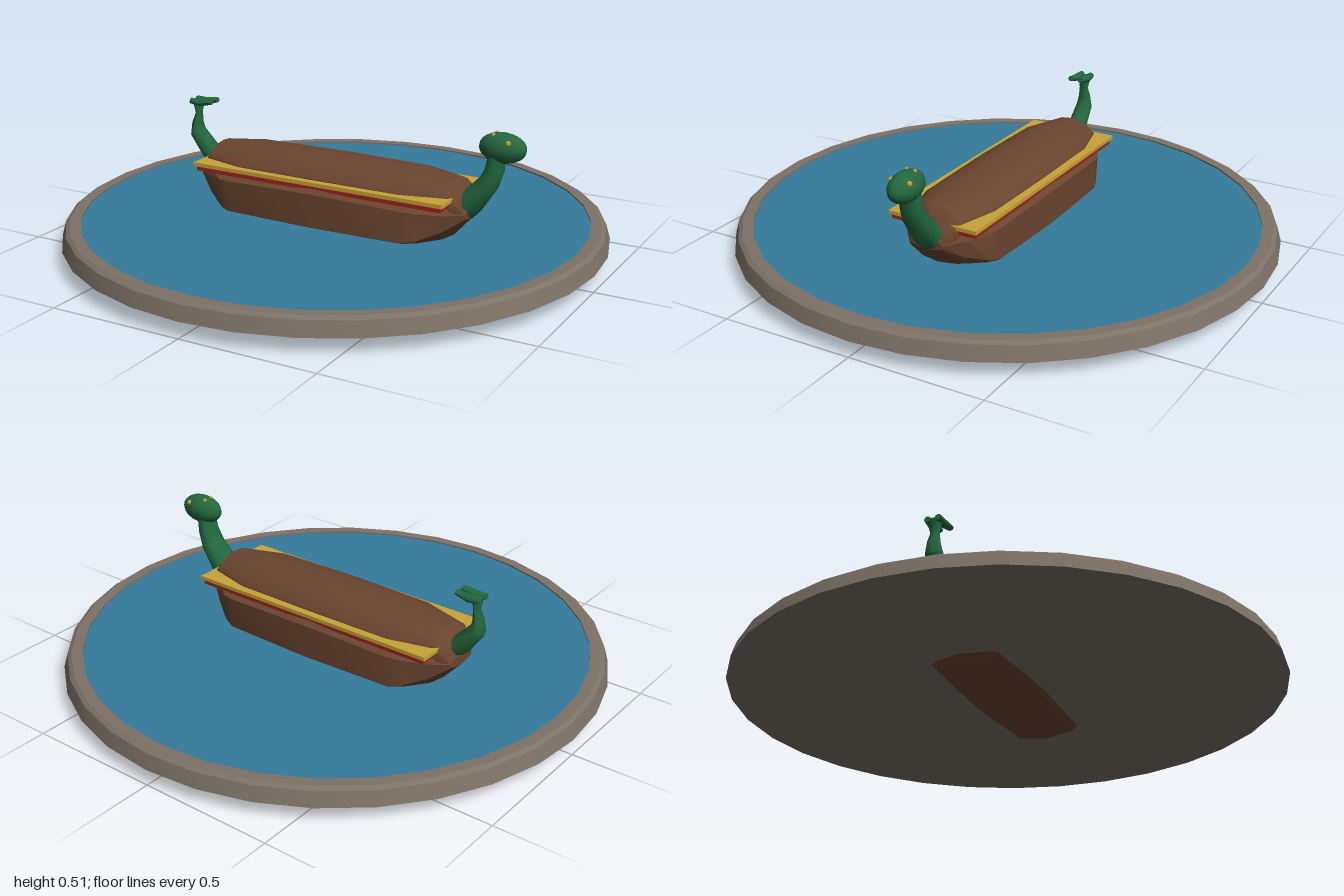
import * as THREE from 'three';
import { toCreasedNormals } from 'three/addons/utils/BufferGeometryUtils.js';

const mat = (name, color) => {
  const m = new THREE.MeshStandardMaterial({ color });
  m.name = name;
  return m;
};

// Skins a list of equal-length rings and caps both ends.
function loft(rings, crease) {
  const n = rings[0].length, pos = [], idx = [];
  rings.forEach(r => r.forEach(p => pos.push(...p)));
  for (let i = 0; i < rings.length - 1; i++) {
    for (let j = 0; j < n; j++) {
      const a = i * n + j, b = i * n + (j + 1) % n;
      idx.push(a, b, b + n, a, b + n, a + n);
    }
  }
  const last = (rings.length - 1) * n;
  for (let j = 1; j < n - 1; j++) idx.push(0, j + 1, j, last, last + j, last + j + 1);
  const g = new THREE.BufferGeometry();
  g.setAttribute('position', new THREE.Float32BufferAttribute(pos, 3));
  g.setIndex(idx);
  return toCreasedNormals(g, crease);
}

// Body symmetric in x and z: each section is x, then [z, y] pairs from top to keel.
function boatBody(sections, crease) {
  const ring = (x, half) => {
    const other = half.slice(1, -1).reverse().map(([z, y]) => [-z, y]);
    return [...half, ...other].map(([z, y]) => [x, y, z]);
  };
  const right = sections.map(([x, half]) => ring(x, half));
  const left = sections.slice(1).reverse().map(([x, half]) => ring(-x, half));
  return loft([...left, ...right], crease);
}

// Round limb through [x, y, radius in plane, radius in z] stations.
function limb(stations, sides = 12) {
  return loft(stations.map(([x, y, r, rz], i) => {
    const p = stations[Math.max(i - 1, 0)], q = stations[Math.min(i + 1, stations.length - 1)];
    const t = new THREE.Vector2(q[0] - p[0], q[1] - p[1]).normalize();
    return Array.from({ length: sides }, (_, k) => {
      const a = k / sides * Math.PI * 2, c = Math.cos(a) * r;
      return [x - t.y * c, y + t.x * c, Math.sin(a) * rz];
    });
  }), 0.9);
}

export function createModel() {
  const model = new THREE.Group();
  const stone = mat('stone', 0x7d7267), water = mat('water', 0x357b9c);
  const brown = mat('brown', 0x6b4530), yellow = mat('yellow', 0xc7a337);
  const red = mat('red', 0x9c241c), green = mat('green', 0x22683e), amber = mat('amber', 0xd09a35);
  const add = (name, geo, material, x = 0, y = 0, z = 0) => {
    const m = new THREE.Mesh(geo, material);
    m.name = name;
    m.position.set(x, y, z);
    model.add(m);
    return m;
  };

  // Pond
  const rim = [[0, 0.062], [1, 0.062], [0.985, 0.115], [0.97, 0.125], [0.93, 0.125], [0.93, 0.105]];
  add('pondRim', toCreasedNormals(new THREE.LatheGeometry(rim.map(p => new THREE.Vector2(...p)), 32), 0.4), stone);
  const surface = new THREE.CircleGeometry(0.932, 32);
  surface.rotateX(-Math.PI / 2);
  add('waterSurface', surface, water, 0, 0.119, 0);

  // Lower hull
  add('lowerHull', boatBody([
    [0, [[0, 0.272], [0.145, 0.272], [0.19, 0.245], [0.19, 0.12], [0.13, 0.045], [0, 0.004]]],
    [0.36, [[0, 0.25], [0.14, 0.25], [0.178, 0.235], [0.178, 0.12], [0.11, 0.045], [0, 0.028]]],
    [0.405, [[0, 0.25], [0.13, 0.25], [0.165, 0.232], [0.16, 0.13], [0.09, 0.08], [0, 0.06]]],
    [0.48, [[0, 0.25], [0.11, 0.25], [0.125, 0.225], [0.11, 0.16], [0.06, 0.13], [0, 0.12]]],
    [0.548, [[0, 0.235], [0.05, 0.235], [0.065, 0.22], [0.06, 0.205], [0.03, 0.198], [0, 0.195]]],
  ], 0.55), brown);

  // Upper hull
  const dome = (x, w, top, side, base) => [x, [[0, top], [w * 0.35, top - 0.004], [w * 0.72, top - 0.022],
    [w * 0.96, side + 0.01], [w, side], [w * 0.96, base], [0, base]]];
  add('upperHull', boatBody([
    dome(0, 0.148, 0.35, 0.287, 0.265),
    dome(0.33, 0.145, 0.346, 0.285, 0.255),
    dome(0.49, 0.106, 0.331, 0.28, 0.24),
    dome(0.515, 0.096, 0.302, 0.265, 0.23),
    dome(0.543, 0.068, 0.25, 0.222, 0.205),
  ], 0.6), brown);

  // Decks between the hulls
  add('yellowDeck', new THREE.BoxGeometry(1.02, 0.014, 0.35), yellow, 0, 0.277, 0);
  add('redDeck', new THREE.BoxGeometry(1, 0.014, 0.335), red, 0, 0.259, 0);

  // Neck and head
  add('neck', limb([[0.515, 0.23, 0.05, 0.056], [0.545, 0.255, 0.046, 0.056], [0.605, 0.33, 0.037, 0.049],
    [0.625, 0.38, 0.033, 0.043], [0.635, 0.45, 0.03, 0.038]]), green);
  const head = add('head', new THREE.SphereGeometry(1, 16, 12), green, 0.652, 0.463, 0);
  head.scale.set(0.087, 0.054, 0.05);
  for (const s of [1, -1]) {
    add('eye', new THREE.SphereGeometry(0.01, 8, 6), amber, 0.685, 0.491, s * 0.036);
    add('browSpot', new THREE.SphereGeometry(0.008, 8, 6), amber, 0.623, 0.508, s * 0.016);
  }

  // Tail with two flukes
  add('tail', limb([[-0.515, 0.25, 0.036, 0.04], [-0.55, 0.28, 0.036, 0.038], [-0.607, 0.348, 0.03, 0.033],
    [-0.608, 0.385, 0.02, 0.025], [-0.6, 0.425, 0.011, 0.018], [-0.603, 0.475, 0.018, 0.028]], 8), green);
  for (const s of [1, -1]) {
    const fluke = limb([[-0.622, 0.472, 0.012, 0.012], [-0.58, 0.469, 0.014, 0.017], [-0.528, 0.478, 0.01, 0.013]], 8);
    add('tailFluke', fluke, green, 0, 0, s * 0.02);
  }
  return model;
}
